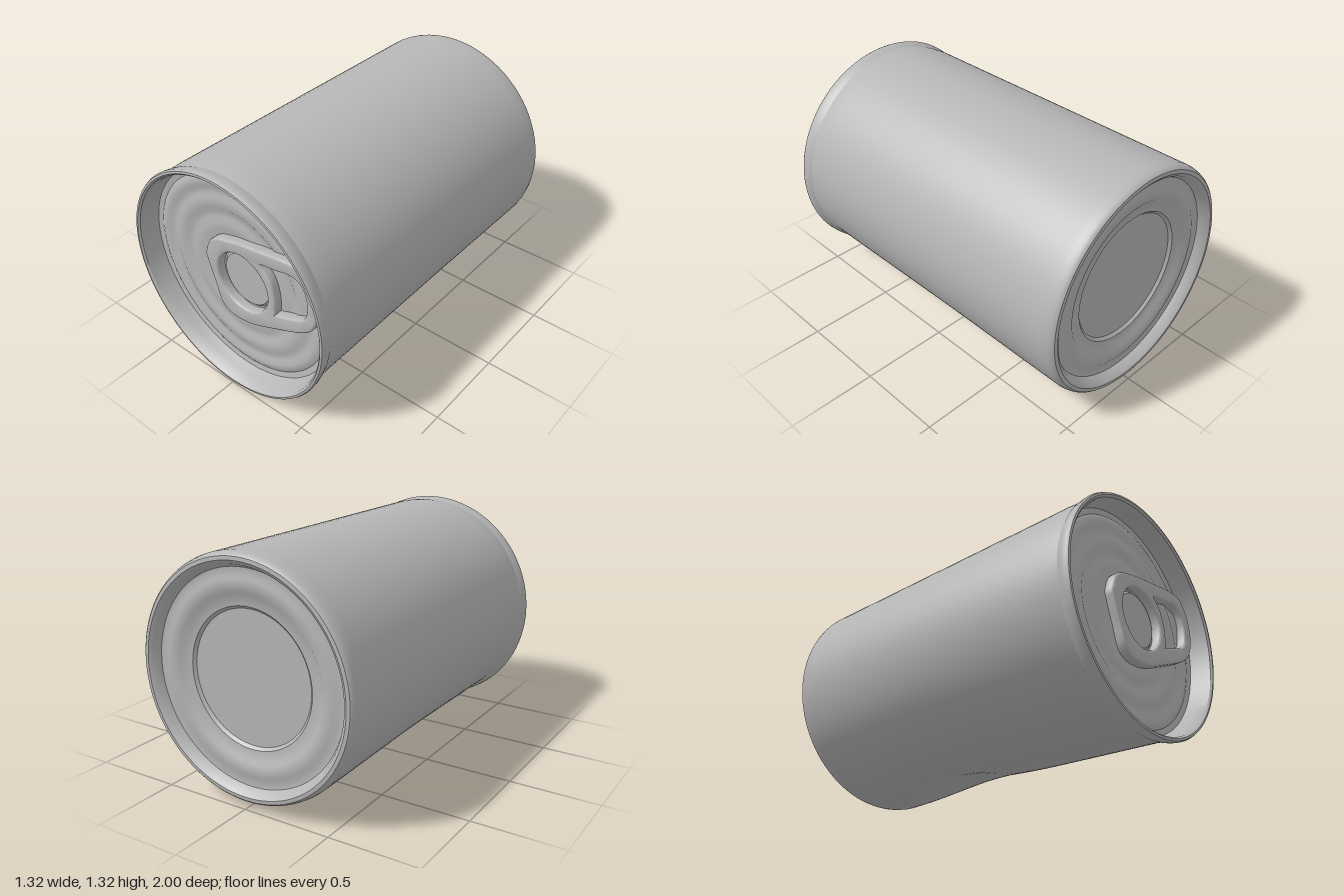
import * as THREE from 'three';
import { toCreasedNormals } from 'three/addons/utils/BufferGeometryUtils.js';

const V2 = (a) => new THREE.Vector2(a[0], a[1]);
const lerp = THREE.MathUtils.lerp;

// How far the underside is raised along the can
const liftKeys = [[-1, 0.005], [-0.8, 0.01], [-0.5, 0.024], [-0.2, 0.038], [0, 0.038], [0.9, 0]];
function liftAt(z) {
  for (let i = 1; i < liftKeys.length; i++) {
    const [z0, y0] = liftKeys[i - 1], [z1, y1] = liftKeys[i];
    if (z <= z1) return lerp(y0, y1, (z - z0) / (z1 - z0));
  }
  return 0;
}

// Lathe about z, standing at the can's height, with the underside pressed in
function turned(points) {
  const geo = new THREE.LatheGeometry(points.map(V2), 96);
  geo.rotateX(Math.PI / 2);
  const p = geo.attributes.position;
  for (let i = 0; i < p.count; i++) {
    const x = p.getX(i), y = p.getY(i), z = p.getZ(i), r = Math.hypot(x, y);
    let lift = 0;
    if (r > 0.6 && y < 0) {
      const dent = 0.065 * Math.exp(-(((z + 0.38) / 0.26) ** 2) - ((x - 0.14) / 0.19) ** 2);
      lift = liftAt(z) * (-y / r) ** 3 + dent;
    }
    const centre = lerp(0.675, 0.665, THREE.MathUtils.smoothstep(z, 0.85, 0.97));
    p.setY(i, y + centre + lift);
  }
  return toCreasedNormals(geo, 0.6);
}

export function createModel() {
  const group = new THREE.Group();
  const metal = new THREE.MeshStandardMaterial({ color: 0xb6b6b6, side: THREE.DoubleSide });
  metal.name = 'grey metal';
  const add = (name, geo) => {
    const mesh = new THREE.Mesh(geo, metal);
    mesh.name = name;
    group.add(mesh);
    return mesh;
  };

  // Side wall with a tight rounded shoulder at the back
  const wall = [[0.625, -0.998], [0.634, -0.99], [0.64, -0.975]];
  for (let i = 0; i <= 48; i++) wall.push([0.645, lerp(-0.95, 0.925, i / 48)]);
  add('canWall', turned(wall));

  // Seamed lip around the front, with a thin wall dropping to the lid
  add('frontRim', turned([
    [0.645, 0.925], [0.652, 0.94], [0.657, 0.96], [0.66, 0.985],
    [0.654, 0.998], [0.642, 1], [0.632, 0.99], [0.622, 0.93], [0.612, 0.88],
  ]));

  // Recessed lid with shallow pressed rings
  add('frontLid', turned([
    [0.612, 0.88], [0.58, 0.874], [0.56, 0.884], [0.53, 0.888], [0.505, 0.876],
    [0.47, 0.876], [0.45, 0.884], [0.4, 0.884], [0.375, 0.872],
    [0.34, 0.872], [0.315, 0.879], [0.28, 0.879], [0.255, 0.874], [0, 0.874],
  ]));

  // Base stepping down to a flat centre disc
  add('backBase', turned([
    [0, -0.91], [0.355, -0.91], [0.37, -0.925], [0.425, -0.93], [0.445, -0.945],
    [0.505, -0.95], [0.525, -0.94], [0.565, -0.945], [0.585, -0.985],
    [0.605, -1], [0.625, -0.998],
  ]));

  // Pull tab: rounded outline with a round hole and a finger hole
  const loop = (pts, n, Type = THREE.Shape) =>
    new Type(new THREE.SplineCurve([...pts, pts[0]].map(V2)).getPoints(n));
  const tab = loop([
    [-0.18, 0.76], [-0.13, 0.6], [-0.075, 0.46], [0.08, 0.445], [0.28, 0.52],
    [0.47, 0.61], [0.54, 0.7], [0.55, 0.82], [0.51, 0.93], [0.43, 0.98],
    [0.22, 0.955], [0, 0.915], [-0.13, 0.865],
  ], 72);
  const ring = new THREE.Path();
  ring.absarc(0.065, 0.695, 0.185, 0, Math.PI * 2, true);
  tab.holes.push(ring, loop([
    [0.27, 0.59], [0.4, 0.635], [0.49, 0.69], [0.51, 0.8], [0.48, 0.895],
    [0.41, 0.93], [0.3, 0.91], [0.19, 0.885], [0.25, 0.8], [0.275, 0.7],
  ], 48, THREE.Path));
  const tabGeo = new THREE.ExtrudeGeometry(tab, {
    depth: 0.035, bevelEnabled: true, bevelThickness: 0.012, bevelSize: 0.012, bevelSegments: 3,
  });
  add('pullTab', toCreasedNormals(tabGeo, 0.7)).position.z = 0.88;

  // Rivet plate inside the tab's round hole
  const rivet = add('rivetPlate', new THREE.CylinderGeometry(0.15, 0.17, 0.02, 40));
  rivet.rotation.x = Math.PI / 2;
  rivet.position.set(0.065, 0.695, 0.878);

  return group;
}
